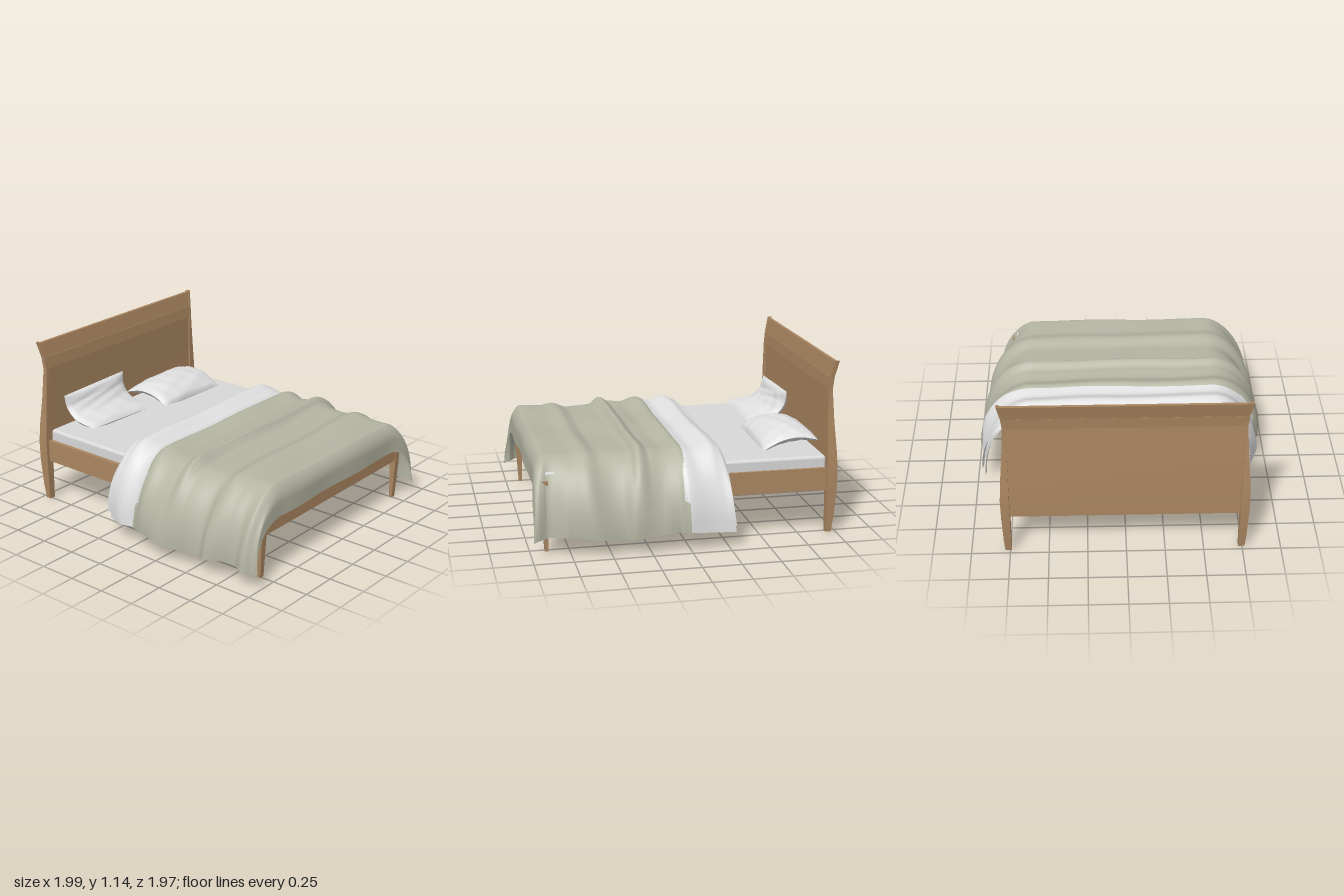
import * as THREE from 'three';
import { mergeGeometries, toCreasedNormals } from 'three/addons/utils/BufferGeometryUtils.js';
import { RoundedBoxGeometry } from 'three/addons/geometries/RoundedBoxGeometry.js';

const mat = (name, color, side = THREE.FrontSide) => {
  const m = new THREE.MeshStandardMaterial({ color, side });
  m.name = name;
  return m;
};

// Rectangular cross-sections [y, x0, x1, z0, z1] joined from bottom to top.
function loft(rows) {
  const pos = [], idx = [];
  for (const [y, x0, x1, z0, z1] of rows)
    pos.push(x0, y, z1, x1, y, z1, x1, y, z0, x0, y, z0);
  for (let r = 0; r < rows.length - 1; r++)
    for (let k = 0; k < 4; k++) {
      const a = r * 4 + k, b = r * 4 + (k + 1) % 4;
      idx.push(a, b, b + 4, a, b + 4, a + 4);
    }
  const t = (rows.length - 1) * 4;
  idx.push(0, 2, 1, 0, 3, 2, t, t + 1, t + 2, t, t + 2, t + 3);
  const g = new THREE.BufferGeometry();
  g.setAttribute('position', new THREE.Float32BufferAttribute(pos, 3));
  g.setIndex(idx);
  return toCreasedNormals(g, 0.5);
}

// Grid surface with f(u, v) giving [x, y, z] for u, v in -1..1.
function surface(nu, nv, f) {
  const g = new THREE.PlaneGeometry(2, 2, nu, nv), p = g.attributes.position;
  for (let i = 0; i < p.count; i++) p.setXYZ(i, ...f(p.getX(i), p.getY(i)));
  g.computeVertexNormals();
  return g;
}

// Smooth interpolation through [x, value] pairs.
function along(table, x) {
  if (x <= table[0][0]) return table[0][1];
  for (let i = 1; i < table.length; i++) {
    const [a, va] = table[i - 1], [b, vb] = table[i];
    if (x <= b) return va + (vb - va) * THREE.MathUtils.smoothstep(x, a, b);
  }
  return table[table.length - 1][1];
}

// Height of the bedding along the bed, and how far each hem hangs out.
const ridge = [[-0.28, 0.56], [-0.23, 0.59], [-0.16, 0.62], [-0.05, 0.585], [0.04, 0.605], [0.15, 0.575],
  [0.24, 0.585], [0.31, 0.622], [0.38, 0.58], [0.55, 0.575], [0.65, 0.605], [0.74, 0.59], [0.9, 0.595]];
const hemLeft = [[-0.27, 0.88], [-0.1, 0.93], [0, 0.92], [0.1, 0.95], [0.25, 0.975], [0.45, 0.94],
  [0.55, 0.93], [0.62, 0.965], [0.76, 0.92], [0.82, 0.91], [0.9, 0.95], [0.98, 0.91]];
const hemRight = [[-0.3, 0.97], [-0.22, 0.95], [0, 0.975], [0.06, 0.94], [0.15, 0.95], [0.34, 0.965],
  [0.41, 0.93], [0.58, 0.96], [0.75, 0.91], [0.88, 0.86], [0.98, 0.88]];

// A cloth laid across the bed and hanging down both sides; past x = 0.9 it turns down over the foot.
function cloth({ x0, x1, hem, lift = 0, flare = 0, headDrop = 0, tailDrop = 0, nu = 40 }) {
  return surface(nu, 72, (u, v) => {
    const f = (u + 1) / 2, right = v > 0, a = Math.abs(v);
    const t = Math.max(0, (a - 0.55) / 0.45);
    const X = x0 + (x1 - x0) * f;
    const sx = Math.min(X, 0.97) + 0.02 * v;
    const out = along(right ? hemRight : hemLeft, Math.min(X, 0.98)) + lift;
    const fold = Math.sin(X * 19 + (right ? 1.5 : 0)) * 0.013 * Math.sin(t * Math.PI);
    const z = a < 0.55 ? a / 0.55 * 0.62 : 0.62 + (out - 0.62) * Math.sin(t * Math.PI / 2) + fold;
    const low = hem + 0.012 * Math.sin(X * 9 + 1);
    const crest = along(ridge, sx) + lift + 0.004 * Math.sin(v * 9 + X * 7)
      - headDrop * Math.pow(Math.max(0, 1 - f * 7), 2) * (1 - t)
      - tailDrop * Math.pow(Math.max(0, f * 7 - 6), 2) * (1 - t);
    let y = crest - (crest - low) * Math.pow(1 - Math.cos(t * Math.PI / 2), 0.95);
    let x = X + 0.012 * Math.sin(v * 8 + 1) * a + (right ? -flare * t * t * (1 - f) : 0);
    if (X > 0.9) {
      const q = (X - 0.9) / 0.22;
      x = 0.9 + 0.055 * Math.sin(Math.min(1, q * 1.6) * Math.PI / 2) + 0.035 * t * q
        + 0.005 * Math.sin(v * 11) * q;
      y -= 0.2 * Math.pow(q, 1.3) * (y - 0.08) / 0.51;
    }
    return [x, y, right ? -z : z];
  });
}

// A stuffed pillow whose middle follows a curve in x and y.
function pillow(points, zMid, half, thick) {
  const mid = new THREE.CatmullRomCurve3(points.map(([x, y]) => new THREE.Vector3(x, y, 0)));
  const face = s => surface(28, 32, (u, v) => {
    const w = -s * v;
    const p = mid.getPoint((u + 1) / 2), d = mid.getTangent((u + 1) / 2);
    const puff = Math.pow(Math.max(0, (1 - u * u) * (1 - v * v)), 0.42);
    const crease = 0.09 * Math.sin(w * 13 + u * 4) * Math.abs(v) + 0.06 * Math.sin(u * 11 - w * 5);
    const h = s * thick * puff * (1 + crease);
    const z = zMid + w * half * (1 - 0.035 * (1 - u * u));
    return [p.x - d.y * h, p.y + d.x * h + 0.008 * u * w, z];
  });
  return mergeGeometries([face(1), face(-1)]);
}

export function createModel() {
  const wood = mat('wood', 0xab8762);
  const mattressWhite = mat('mattress white', 0xd8d8d8);
  const linen = mat('white linen', 0xe0e0e0, THREE.DoubleSide);
  const sage = mat('sage blanket', 0xb5b5a3, THREE.DoubleSide);

  const bed = new THREE.Group();
  bed.name = 'bed';
  const add = (parent, name, geometry, material) => {
    const m = new THREE.Mesh(geometry, material);
    m.name = name;
    parent.add(m);
    return m;
  };

  // Wooden frame
  const frame = new THREE.Group();
  frame.name = 'frame';
  frame.position.z = -0.008;
  bed.add(frame);

  const post = [
    [0, -0.97, -0.935, 0.733, 0.775], [0.1, -0.985, -0.934, 0.733, 0.781], [0.28, -0.998, -0.932, 0.733, 0.788],
    [0.42, -1, -0.932, 0.733, 0.79], [0.55, -0.992, -0.932, 0.733, 0.783], [0.75, -0.974, -0.932, 0.733, 0.766],
    [0.95, -0.962, -0.933, 0.733, 0.753], [1.03, -0.969, -0.942, 0.742, 0.76], [1.14, -0.992, -0.968, 0.763, 0.782]];
  const footLeg = [
    [0, 0.884, 0.905, 0.736, 0.77], [0.27, 0.878, 0.922, 0.733, 0.778], [0.46, 0.878, 0.922, 0.733, 0.778]];
  const rail = [[0.285, -0.94, 0.9, 0.738, 0.766], [0.435, -0.94, 0.9, 0.738, 0.766]];
  for (const [side, s] of [['left', 1], ['right', -1]]) {
    const mirrored = rows => rows.map(([y, x0, x1, z0, z1]) =>
      s > 0 ? [y, x0, x1, z0, z1] : [y, x0, x1, -z1, -z0]);
    add(frame, side + 'HeadPost', loft(mirrored(post)), wood);
    add(frame, side + 'FootLeg', loft(mirrored(footLeg)), wood);
    add(frame, side + 'Rail', loft(mirrored(rail)), wood);
  }
  add(frame, 'footRail', loft([[0.285, 0.897, 0.917, -0.735, 0.735], [0.435, 0.897, 0.917, -0.735, 0.735]]), wood);

  // Headboard: flat panel, moulding band and leaning crown
  add(frame, 'headboardPanel', loft([
    [0.28, -0.975, -0.945, -0.736, 0.736], [0.55, -0.975, -0.945, -0.736, 0.736],
    [0.95, -0.958, -0.942, -0.736, 0.736]]), wood);
  add(frame, 'headboardBand', loft([
    [0.95, -0.96, -0.937, -0.736, 0.736], [1.03, -0.969, -0.945, -0.745, 0.745]]), wood);
  add(frame, 'headboardCrown', loft([
    [1.03, -0.968, -0.949, -0.745, 0.745], [1.133, -0.99, -0.97, -0.768, 0.768]]), wood);

  // Mattress
  add(bed, 'mattress', new RoundedBoxGeometry(1.835, 0.24, 1.485, 4, 0.02), mattressWhite)
    .position.set(-0.0175, 0.39, -0.0125);

  // Bedding
  add(bed, 'foldedSheet', cloth({ x0: -0.265, x1: 0.03, hem: 0.16, flare: 0.03, headDrop: 0.055 }), linen);
  add(bed, 'underSheet', cloth({ x0: -0.25, x1: 0, hem: 0.11, lift: -0.014, flare: 0.05, headDrop: 0.04 }), linen);
  add(bed, 'blanketFold', cloth({ x0: 0, x1: 0.345, hem: 0.115, lift: 0.008, headDrop: 0.015, tailDrop: 0.015 }), sage);
  add(bed, 'blanket', cloth({ x0: 0.03, x1: 1.12, hem: 0.11, lift: -0.002, nu: 110 }), sage);

  // Pillows: one lying flat, one bent up against the headboard
  add(bed, 'flatPillow', pillow(
    [[-0.92, 0.575], [-0.8, 0.6], [-0.68, 0.588], [-0.55, 0.535]], -0.325, 0.3, 0.055), linen);
  add(bed, 'bentPillow', pillow(
    [[-0.9, 0.74], [-0.885, 0.65], [-0.81, 0.575], [-0.63, 0.55]], 0.33, 0.295, 0.048), linen);

  return bed;
}
